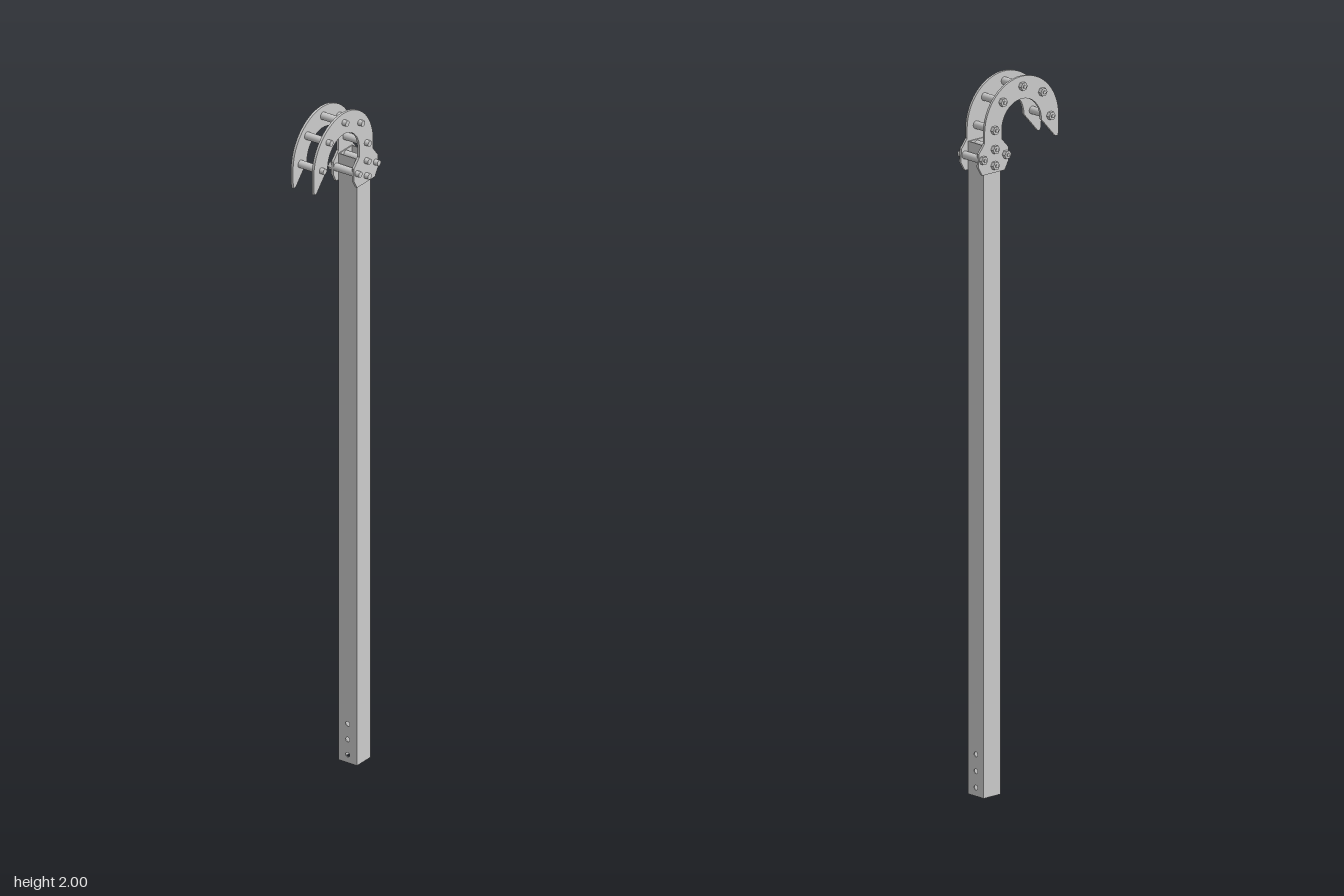
import * as THREE from 'three';
import { toCreasedNormals } from 'three/addons/utils/BufferGeometryUtils.js';

const POST_Z = -0.09, HALF = 0.031, WALL = 0.003, POST_TOP = 1.83;
const HOOK_Z = 0.012, HOOK_Y = 1.864;
const PLATE_IN = 0.031, PLATE_OUT = 0.038;

export function createModel() {
  const model = new THREE.Group();
  const material = new THREE.MeshStandardMaterial({ color: 0xcccccc });
  const add = (parent, name, geometry, x = 0, y = 0, z = 0) => {
    const mesh = new THREE.Mesh(geometry, material);
    mesh.name = name;
    mesh.position.set(x, y, z);
    parent.add(mesh);
    return mesh;
  };

  // Hollow square post, open at both ends, with holes through front and back
  const post = new THREE.Group();
  post.name = 'post';
  post.position.z = POST_Z;
  model.add(post);
  const wall = new THREE.Shape([
    new THREE.Vector2(-HALF, 0), new THREE.Vector2(HALF, 0),
    new THREE.Vector2(HALF, POST_TOP), new THREE.Vector2(-HALF, POST_TOP),
  ]);
  for (const y of [0.024, 0.07, 0.117]) {
    wall.holes.push(new THREE.Path().absarc(0, y, 0.007, 0, Math.PI * 2, true));
  }
  const wallGeometry = new THREE.ExtrudeGeometry(wall, { depth: WALL, bevelEnabled: false, curveSegments: 12 });
  add(post, 'frontWall', wallGeometry, 0, 0, HALF - WALL);
  add(post, 'backWall', wallGeometry, 0, 0, -HALF);
  const sideGeometry = new THREE.BoxGeometry(WALL, POST_TOP, 2 * (HALF - WALL));
  for (const s of [1, -1]) {
    add(post, s > 0 ? 'leftWall' : 'rightWall', sideGeometry, s * (HALF - WALL / 2), POST_TOP / 2, 0);
  }

  // Hook plate outline, drawn as (z, y)
  const hook = new THREE.Shape();
  hook.moveTo(0.146, 1.808);
  hook.lineTo(HOOK_Z + 0.136, 1.83);
  hook.absarc(HOOK_Z, HOOK_Y, 0.136, 0, Math.PI, false);
  // clamp foot, wider than the post
  for (const [z, y] of [[-0.124, 1.838], [-0.145, 1.812], [-0.147, 1.775], [-0.132, 1.75],
    [-0.05, 1.75], [-0.036, 1.775], [-0.036, 1.812], [-0.06, 1.838]]) hook.lineTo(z, y);
  hook.absarc(HOOK_Z, HOOK_Y, 0.073, Math.PI, 0, true);
  hook.lineTo(0.136, 1.808);
  const plateGeometry = toCreasedNormals(
    new THREE.ExtrudeGeometry(hook, { depth: PLATE_OUT - PLATE_IN, bevelEnabled: false, curveSegments: 40 }), 0.4);
  plateGeometry.rotateY(-Math.PI / 2);
  add(model, 'leftHookPlate', plateGeometry, PLATE_OUT);
  add(model, 'rightHookPlate', plateGeometry, -PLATE_IN);

  // Bolts with spacer sleeves: five around the hook, four clamping the post
  const rod = (radius, x0, x1, sides = 20) => {
    const g = new THREE.CylinderGeometry(radius, radius, x1 - x0, sides);
    g.rotateZ(Math.PI / 2);
    g.translate((x0 + x1) / 2, 0, 0);
    return g;
  };
  const boltParts = {
    sleeve: rod(0.011, -PLATE_IN, PLATE_IN),
    shank: rod(0.005, -0.052, PLATE_OUT),
    head: rod(0.0085, PLATE_OUT, 0.051),
    nut: toCreasedNormals(rod(0.012, -0.049, -PLATE_OUT, 6), 0.4),
  };
  const places = [[POST_Z, 1.816], [POST_Z, 1.771], [POST_Z + 0.042, 1.794], [POST_Z - 0.043, 1.794]];
  for (let i = 0; i < 5; i++) {
    const a = (i * Math.PI) / 4;
    places.push([HOOK_Z + 0.103 * Math.cos(a), HOOK_Y + 0.006 + 0.103 * Math.sin(a)]);
  }
  for (const [z, y] of places) {
    const bolt = new THREE.Group();
    bolt.name = 'bolt';
    bolt.position.set(0, y, z);
    for (const [name, geometry] of Object.entries(boltParts)) add(bolt, name, geometry);
    model.add(bolt);
  }
  return model;
}
